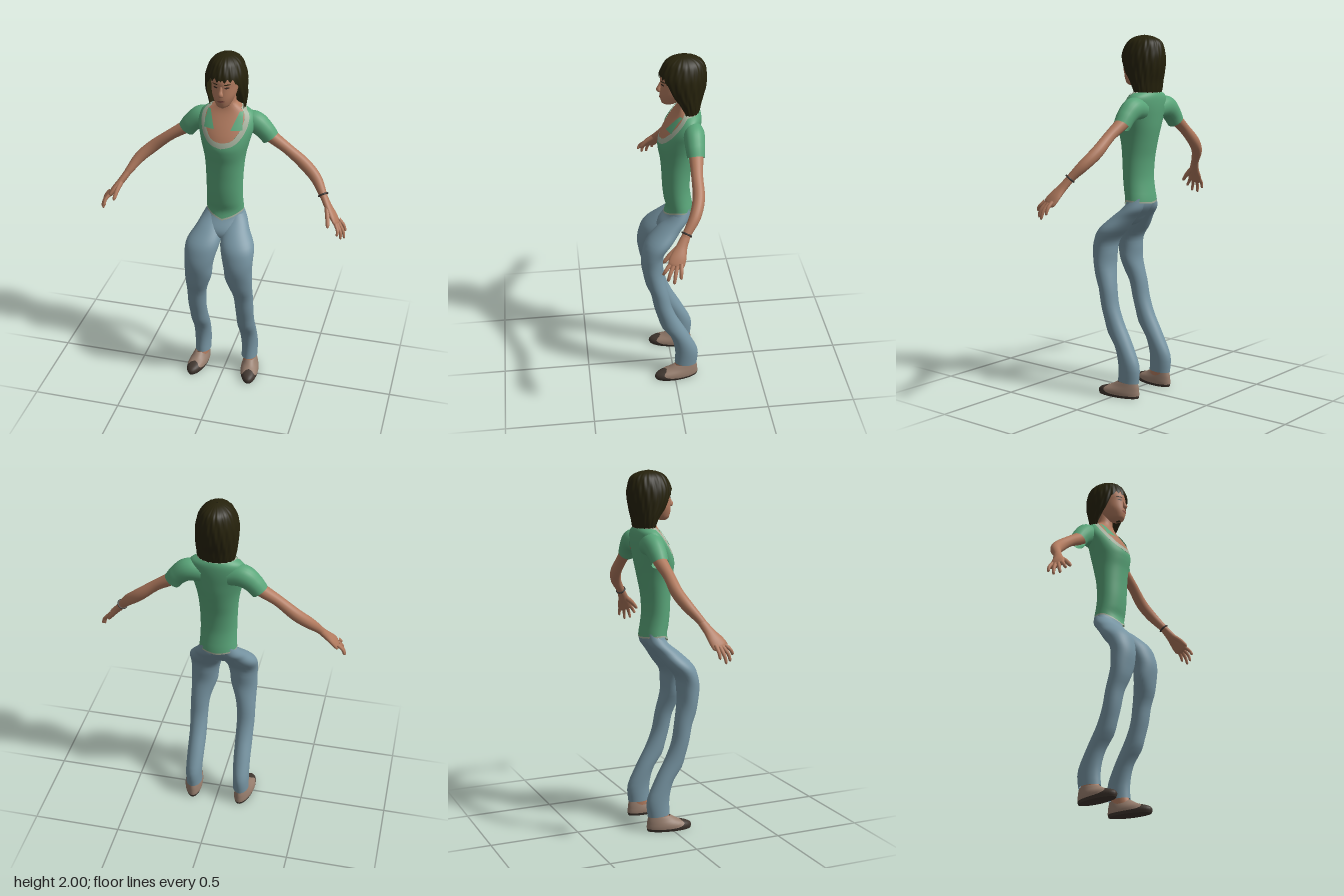
import * as THREE from 'three';

const mat = (name, color, double) => {
  const m = new THREE.MeshStandardMaterial({ color });
  m.name = name;
  if (double) m.side = THREE.DoubleSide;
  return m;
};

// Smooth interpolation of a table whose first column is the key
function at(rows, k) {
  const n = rows.length - 1;
  let i = 0;
  while (i < n - 1 && k > rows[i + 1][0]) i++;
  const a = rows[i], b = rows[i + 1], h = b[0] - a[0];
  const t = THREE.MathUtils.clamp((k - a[0]) / h, 0, 1);
  const p = rows[Math.max(i - 1, 0)], q = rows[Math.min(i + 2, n)];
  return a.slice(1).map((v, c) => {
    c += 1;
    const m0 = (b[c] - p[c]) / (b[0] - p[0]) * h, m1 = (q[c] - a[c]) / (q[0] - a[0]) * h;
    const t2 = t * t, t3 = t2 * t;
    return (2 * t3 - 3 * t2 + 1) * v + (t3 - 2 * t2 + t) * m0 + (3 * t2 - 2 * t3) * b[c] + (t3 - t2) * m1;
  });
}

// Closed rings of points joined into a smooth skin; s = -1 mirrors it
function skinRings(name, material, cols, rows, s, point) {
  const pos = [], idx = [];
  for (let j = 0; j <= rows; j++) for (let i = 0; i < cols; i++) {
    const p = point(i / cols * Math.PI * 2, j / rows);
    pos.push(p.x * s, p.y, p.z);
    if (j === rows) continue;
    const k = (i + 1) % cols, a = j * cols + i, b = j * cols + k, c = b + cols, d = a + cols;
    if (s > 0) idx.push(a, b, c, a, c, d);
    else idx.push(a, c, b, a, d, c);
  }
  const g = new THREE.BufferGeometry();
  g.setAttribute('position', new THREE.Float32BufferAttribute(pos, 3));
  g.setIndex(idx);
  g.computeVertexNormals();
  const m = new THREE.Mesh(g, material);
  m.name = name;
  return m;
}

// Upright body part: rows of [y, centre x, half width, back z, front z],
// cut below and above by heights that may depend on the angle from the front (degrees, 0 to 180)
function shell(name, material, rows, lo, hi, { s = 1, grow = 1, cols = 40, steps = 30, rough = 0 } = {}) {
  const edge = (e, a) => (typeof e === 'number' ? e : e(a));
  return skinRings(name, material, cols, steps, s, (a, t) => {
    const deg = 180 - Math.abs(180 - a * 180 / Math.PI);
    const y = THREE.MathUtils.lerp(edge(lo, deg), edge(hi, deg), Math.sin(t * Math.PI / 2));
    const [xc, rx, zb, zf] = at(rows, y);
    const k = grow * (1 + rough * (Math.sin(a * 19 + y * 25) + 0.6 * Math.sin(a * 31 - y * 40)));
    return new THREE.Vector3(xc + Math.max(rx, 0.002) * k * Math.sin(a), y,
      (zb + zf) / 2 + Math.max((zf - zb) / 2, 0.002) * k * Math.cos(a));
  });
}

// Limb along a path: points of [x, y, z, radius towards z, other radius]
function limb(name, material, pts, s = 1, open = false, cols = 20, steps = 24) {
  const curve = new THREE.CatmullRomCurve3(pts.map(p => new THREE.Vector3(p[0], p[1], p[2])));
  const radii = pts.map((p, i) => [i / (pts.length - 1), p[3], p[4]]);
  return skinRings(name, material, cols, steps, s, (a, t) => {
    const dir = curve.getTangent(t);
    const b = new THREE.Vector3(0, 0, 1).addScaledVector(dir, -dir.z).normalize();
    const c = dir.clone().cross(b);
    const [r1, r2] = at(radii, t);
    const end = open || t < 0.85 ? 1 : Math.sqrt(Math.max(0, 1 - ((t - 0.85) / 0.15) ** 2));
    return curve.getPoint(t).addScaledVector(b, Math.cos(a) * r1 * end).addScaledVector(c, Math.sin(a) * r2 * end);
  });
}

const frontZ = (rows, x, y) => {
  const [xc, rx, zb, zf] = at(rows, y);
  return (zb + zf) / 2 + (zf - zb) / 2 * Math.sqrt(Math.max(0, 1 - ((x - xc) / rx) ** 2));
};

// Thin plate laid on the front of an upright part
function plate(name, material, geo, rows, lift) {
  const p = geo.attributes.position;
  for (let i = 0; i < p.count; i++) p.setZ(i, frontZ(rows, p.getX(i), p.getY(i)) + lift);
  geo.computeVertexNormals();
  const m = new THREE.Mesh(geo, material);
  m.name = name;
  return m;
}

const TORSO = [[1.05, 0, .106, -.115, .045], [1.1, 0, .105, -.116, .032], [1.15, 0, .102, -.108, .042],
  [1.22, 0, .101, -.1, .05], [1.32, 0, .104, -.106, .055], [1.4, 0, .11, -.122, .062], [1.46, 0, .12, -.135, .073],
  [1.5, 0, .13, -.143, .075], [1.55, 0, .143, -.15, .06], [1.6, 0, .155, -.156, .032], [1.64, 0, .152, -.158, .005],
  [1.67, 0, .135, -.156, -.015], [1.69, 0, .105, -.148, -.025], [1.71, 0, .067, -.13, -.03],
  [1.73, 0, .05, -.122, -.032], [1.8, 0, .048, -.12, -.03]];
const HEAD = [[1.726, 0, .01, .005, .035], [1.735, 0, .03, -.02, .05], [1.75, 0, .042, -.05, .056],
  [1.775, 0, .055, -.08, .062], [1.8, 0, .065, -.1, .062], [1.85, 0, .073, -.13, .058], [1.88, 0, .075, -.138, .058],
  [1.92, 0, .07, -.135, .04], [1.96, 0, .04, -.1, -.01]];
const HAIR = [[1.66, 0, .09, -.14, -.035], [1.7, 0, .1, -.15, -.025], [1.75, 0, .108, -.16, 0], [1.8, 0, .112, -.175, .04],
  [1.85, 0, .113, -.184, .063], [1.9, 0, .107, -.184, .064], [1.95, 0, .088, -.172, .042], [1.975, 0, .068, -.152, .02],
  [1.993, 0, .036, -.11, -.02], [2, 0, .003, -.068, -.062]];
const PELVIS = [[.945, 0, .02, .02, .06], [.96, 0, .08, -.01, .08], [1, 0, .12, -.045, .075],
  [1.06, 0, .113, -.09, .028], [1.12, 0, .094, -.1, 0]];
const LEG = [[.08, .143, .046, -.132, -.002], [.175, .143, .047, -.137, -.005], [.28, .14, .049, -.09, .02],
  [.36, .139, .05, -.048, .075], [.41, .139, .05, -.02, .09], [.5, .14, .052, .016, .115], [.6, .136, .056, .035, .135],
  [.66, .128, .064, .048, .16], [.73, .117, .077, .063, .175], [.8, .113, .08, .06, .185], [.86, .108, .088, .053, .178],
  [.93, .097, .095, 0, .153], [1, .075, .075, -.052, .085], [1.05, .065, .06, -.09, .025], [1.11, .05, .043, -.1, -.02]];
const SHOE = [[0, 0, .047, -.128, .122], [.02, 0, .053, -.132, .128], [.04, 0, .05, -.13, .11],
  [.06, 0, .042, -.128, .05], [.085, 0, .034, -.122, .005]];
const ANKLE = [[.03, .143, .032, -.12, .01], [.12, .143, .036, -.115, -.02]];

export function createModel() {
  const skin = mat('skin', 0xb27b5f), hairMat = mat('dark hair', 0x26220c, true), green = mat('green cloth', 0x5aa67a, true);
  const trim = mat('pale trim', 0xa5b09c, true), denim = mat('blue denim', 0x7795a3, true);
  const tan = mat('tan shoe', 0x957c6c, true), dark = mat('dark shoe', 0x40362f), lip = mat('lips', 0x8e5448);
  const eye = mat('eyes', 0x3a2a22), metal = mat('bracelet', 0x3c3633);
  const root = new THREE.Group();
  root.name = 'woman';
  const add = (...m) => root.add(...m);
  const curveOf = table => a => at(table, a)[0];

  // Shirt with scooped trim, chest and neck
  const hem = curveOf([[0, 1.06], [25, 1.075], [70, 1.1], [120, 1.097], [180, 1.088]]);
  const outer = curveOf([[0, 1.505], [30, 1.525], [48, 1.57], [62, 1.655], [78, 1.687], [180, 1.69]]);
  const inner = curveOf([[0, 1.535], [24, 1.55], [38, 1.6], [50, 1.668], [66, 1.698], [180, 1.7]]);
  add(shell('shirt', green, TORSO, hem, outer, { cols: 72, steps: 44 }),
    shell('shirtHem', trim, TORSO, a => hem(a) - .009, hem, { cols: 72, steps: 2, grow: 1.005 }),
    shell('necklineTrim', trim, TORSO, outer, inner, { cols: 72, steps: 6, grow: 1.004 }),
    shell('chestAndNeck', skin, TORSO, inner, 1.8, { cols: 72, steps: 24 }));

  // Head, nose and hair
  const hairEdge = curveOf([[0, 1.885], [25, 1.892], [44, 1.87], [54, 1.8], [64, 1.71], [80, 1.69], [180, 1.675]]);
  add(shell('head', skin, HEAD, 1.726, 1.96),
    limb('nose', skin, [[0, 1.862, .05, .006, .007], [0, 1.835, .061, .008, .009], [0, 1.813, .066, .014, .014], [0, 1.801, .06, .006, .012]]),
    shell('hair', hairMat, HAIR, a => hairEdge(a) + .009 * Math.sin(a * .42), 2, { cols: 120, steps: 36, rough: .014 }));
  const oval = (x, y, rx, ry) => new THREE.CircleGeometry(1, 20).scale(rx, ry, 1).translate(x, y, 0);
  add(plate('mouth', lip, oval(0, 1.776, .021, .006), HEAD, .003));

  // Pelvis of the trousers
  add(shell('trouserSeat', denim, PELVIS, .945, 1.12));

  for (const s of [1, -1]) {
    const side = s > 0 ? 'left' : 'right';

    // Eyes, brows and collar flaps
    add(plate(side + 'Eye', eye, oval(s * .031, 1.85, .012, .0045), HEAD, .002),
      plate(side + 'Brow', hairMat, oval(s * .033, 1.868, .017, .003), HEAD, .002));
    const flap = new THREE.PlaneGeometry(1, 1, 8, 8), fp = flap.attributes.position;
    for (let i = 0; i < fp.count; i++) {
      const u = fp.getX(i) + .5, v = fp.getY(i) + .5;
      const xi = THREE.MathUtils.lerp(.045, .08, v), xo = THREE.MathUtils.lerp(.106, .098, v);
      fp.setXY(i, s * THREE.MathUtils.lerp(xi, xo, s > 0 ? u : 1 - u), 1.6 + .085 * v);
    }
    add(plate(side + 'CollarFlap', green, flap, TORSO, .006));

    // Sleeve and arm
    add(limb(side + 'Sleeve', green, [[.07, 1.6, -.102, .05, .055], [.145, 1.605, -.102, .056, .062],
      [.2, 1.567, -.1, .052, .054], [.236, 1.522, -.1, .046, .049]], s, true),
    limb(side + 'Arm', skin, [[.15, 1.6, -.1, .042, .042], [.235, 1.535, -.1, .038, .036], [.33, 1.472, -.093, .031, .03],
      [.43, 1.392, -.088, .032, .034], [.5, 1.33, -.06, .03, .031], [.55, 1.263, -.012, .023, .022],
      [.575, 1.225, .01, .024, .019]], s, false, 20, 40));

    // Hand: palm, four fingers and thumb
    add(limb(side + 'Palm', skin, [[.55, 1.263, -.012, .022, .02], [.585, 1.212, .018, .029, .019],
      [.622, 1.165, .042, .042, .017], [.65, 1.122, .062, .042, .012]], s));
    const fingers = [[[.64, 1.145, .085], [.657, 1.118, .11], [.655, 1.092, .124]],
      [[.645, 1.14, .068], [.67, 1.1, .09], [.673, 1.062, .1]],
      [[.65, 1.14, .05], [.68, 1.095, .063], [.69, 1.054, .07]],
      [[.648, 1.148, .028], [.678, 1.115, .032], [.69, 1.08, .035]]];
    fingers.forEach((f, i) => add(limb(side + 'Finger' + (i + 1), skin,
      f.map((p, k) => [...p, .0115 - k * .002, .0105 - k * .002]), s, false, 10, 12)));
    add(limb(side + 'Thumb', skin, [[.583, 1.208, .035, .016, .014], [.595, 1.172, .08, .013, .012],
      [.604, 1.13, .118, .009, .009]], s, false, 10, 12));

    // Trouser leg, ankle and shoe
    add(shell(side + 'TrouserLeg', denim, LEG, a => .092 - a * .00005, 1.11, { s, steps: 48 }),
      shell(side + 'Ankle', skin, ANKLE, .03, .12, { s, cols: 24, steps: 4 }));
    const shoe = new THREE.Group();
    shoe.name = side + 'Shoe';
    const line = curveOf([[0, .058], [30, .05], [60, .024], [90, .016], [180, .015]]);
    const sole = new THREE.Mesh(new THREE.CircleGeometry(1, 40).rotateX(Math.PI / 2).scale(.047, 1, .125).translate(0, 0, -.003), dark);
    sole.name = 'soleBottom';
    shoe.add(shell('toeAndSole', dark, SHOE, 0, line, { steps: 10 }), shell('shoeUpper', tan, SHOE, line, .085, { steps: 10 }), sole);
    shoe.position.set(s * .158, 0, -.008);
    shoe.rotation.y = s * .14;
    add(shoe);
  }

  // Bracelet on the left wrist
  const bracelet = new THREE.Mesh(new THREE.TorusGeometry(.025, .005, 8, 28), metal);
  bracelet.name = 'bracelet';
  bracelet.position.set(.551, 1.262, -.011);
  bracelet.quaternion.setFromUnitVectors(new THREE.Vector3(0, 0, 1), new THREE.Vector3(.042, -.065, .042).normalize());
  add(bracelet);
  return root;
}
